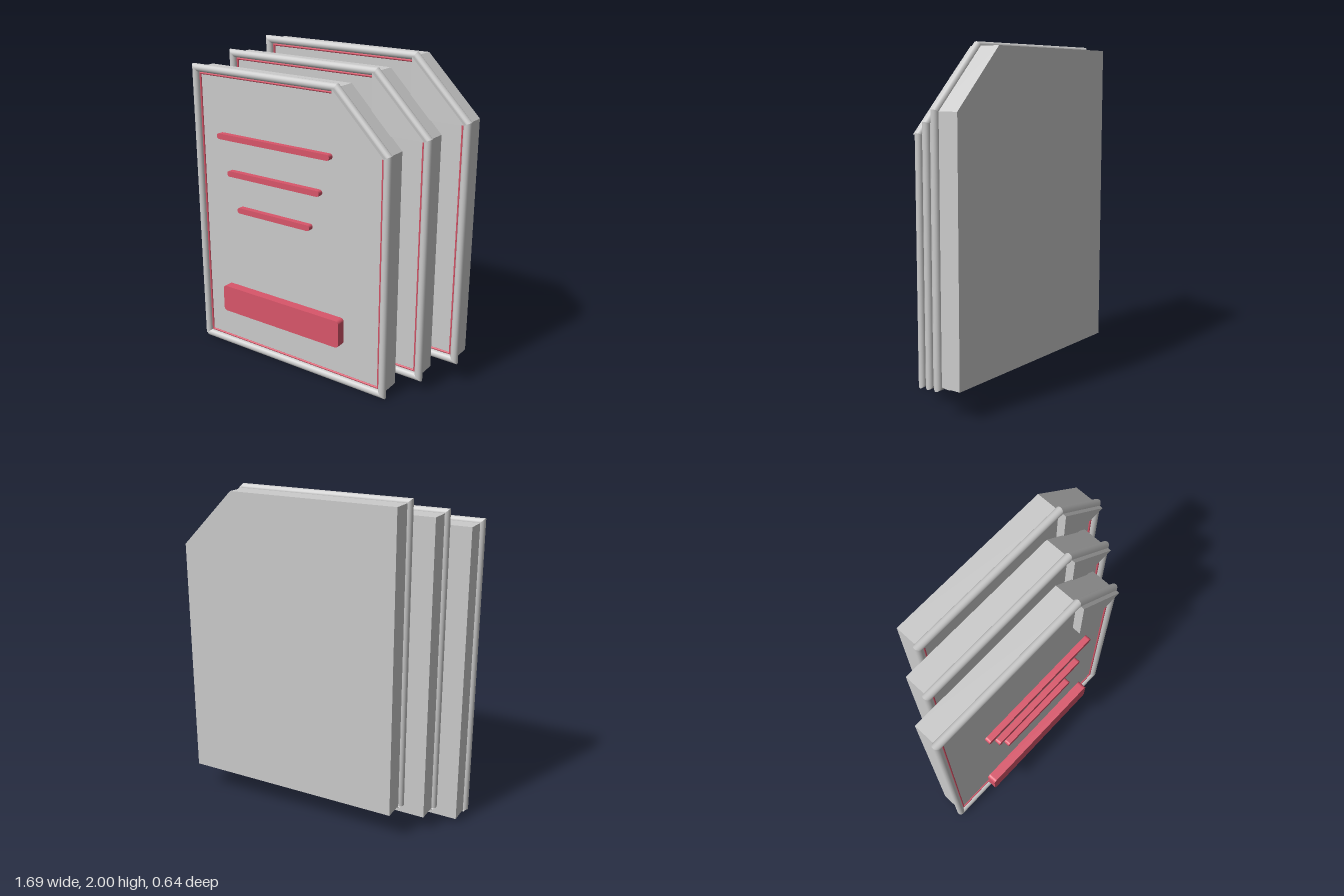
import * as THREE from 'three';

const grey = new THREE.MeshStandardMaterial({ color: 0xcccccc });
const greyThin = new THREE.MeshStandardMaterial({ color: 0xcccccc, side: THREE.DoubleSide });
const red = new THREE.MeshStandardMaterial({ color: 0xd9566a });
const redThin = new THREE.MeshStandardMaterial({ color: 0xd9566a, side: THREE.DoubleSide });

const L = -0.823, R = 0.547, B = 0.025, T = 1.829; // sheet edges
const CX = 0.21, CY = 1.49;                        // where the cut corner starts and ends
const BACK = 0.06, FACE = 0.205, FOLD = 0.257;     // depths

// Sheet outline with a cut upper corner, moved inwards by d
function outline(d) {
  const k = d * 0.414;
  return [[L + d, B + d], [L + d, T - d], [CX - k, T - d], [R - d, CY - k], [R - d, B + d]]
    .map(([x, y]) => new THREE.Vector2(x, y));
}

function add(parent, name, geometry, material) {
  const mesh = new THREE.Mesh(geometry, material);
  mesh.name = name;
  parent.add(mesh);
  return mesh;
}

function slab(shape, z0, z1) {
  return new THREE.ExtrudeGeometry(shape, { depth: z1 - z0, bevelEnabled: false, curveSegments: 6 })
    .translate(0, 0, z0);
}

// Round bar swept along the outline with mitred corners, ends meeting at the first point
function mitredBar(points, radius, z, sides = 16) {
  const path = [...points, points[0]];
  const pos = [], nor = [], index = [];
  for (let s = 0; s < path.length - 1; s++) {
    const dir = path[s + 1].clone().sub(path[s]).normalize();
    const side = new THREE.Vector2(-dir.y, dir.x);
    for (const e of [s, s + 1]) {
      // slide each ring point along the bar so that it lies on the mitre plane
      let slide = 0;
      if (e > 0 && e < path.length - 1) {
        const a = path[e].clone().sub(path[e - 1]).normalize();
        const b = path[e + 1].clone().sub(path[e]).normalize();
        const plane = a.add(b);
        slide = -side.dot(plane) / dir.dot(plane);
      }
      for (let i = 0; i <= sides; i++) {
        const t = (i / sides) * Math.PI * 2, c = Math.cos(t), n = Math.sin(t);
        pos.push(path[e].x + radius * c * (side.x + dir.x * slide),
          path[e].y + radius * c * (side.y + dir.y * slide), z + radius * n);
        nor.push(side.x * c, side.y * c, n);
      }
    }
    const o = s * 2 * (sides + 1), q = o + sides + 1;
    for (let i = 0; i < sides; i++) {
      index.push(o + i, q + i, o + i + 1, o + i + 1, q + i, q + i + 1);
    }
  }
  const g = new THREE.BufferGeometry();
  g.setAttribute('position', new THREE.Float32BufferAttribute(pos, 3));
  g.setAttribute('normal', new THREE.Float32BufferAttribute(nor, 3));
  g.setIndex(index);
  return g;
}

function roundedRect(x0, x1, y0, y1, r) {
  const s = new THREE.Shape();
  s.absarc(x1 - r, y0 + r, r, -Math.PI / 2, 0);
  s.absarc(x1 - r, y1 - r, r, 0, Math.PI / 2);
  s.absarc(x0 + r, y1 - r, r, Math.PI / 2, Math.PI);
  s.absarc(x0 + r, y0 + r, r, Math.PI, Math.PI * 1.5);
  return s;
}

export function createModel() {
  const model = new THREE.Group();
  model.name = 'documentStack';

  // Three identical sheets stepped back, up and sideways
  const bodyGeo = slab(new THREE.Shape(outline(0)), BACK, FACE);
  const rimGeo = mitredBar(outline(0), 0.024, 0.21);
  const trimGeo = mitredBar(outline(0.031), 0.007, 0.207, 8);
  const foldGeo = slab(new THREE.Shape([
    new THREE.Vector2(CX, CY), new THREE.Vector2(R, CY), new THREE.Vector2(CX, T)]), FACE, FOLD);
  for (let i = 0; i < 3; i++) {
    const sheet = new THREE.Group();
    sheet.name = `sheet${i + 1}`;
    sheet.position.set(0.137 * i, 0.073 * i, -0.19 * i);
    add(sheet, 'sheetBody', bodyGeo, grey);
    add(sheet, 'rim', rimGeo, greyThin);
    add(sheet, 'innerTrim', trimGeo, redThin);
    add(sheet, 'foldedCorner', foldGeo, grey);
    model.add(sheet);
  }

  // Text bars floating in front of the first sheet
  [[-0.58, 0.235, 1.46], [-0.51, 0.166, 1.237], [-0.44, 0.097, 1.015]].forEach(([x0, x1, y], i) => {
    add(model, `textBar${i + 1}`, slab(roundedRect(x0, x1, y - 0.0175, y + 0.0175, 0.0165), 0.283, 0.318), red);
  });

  // Wide button below them
  add(model, 'button', slab(roundedRect(-0.582, 0.302, 0.303, 0.477, 0.022), 0.26, 0.318), red);
  return model;
}
